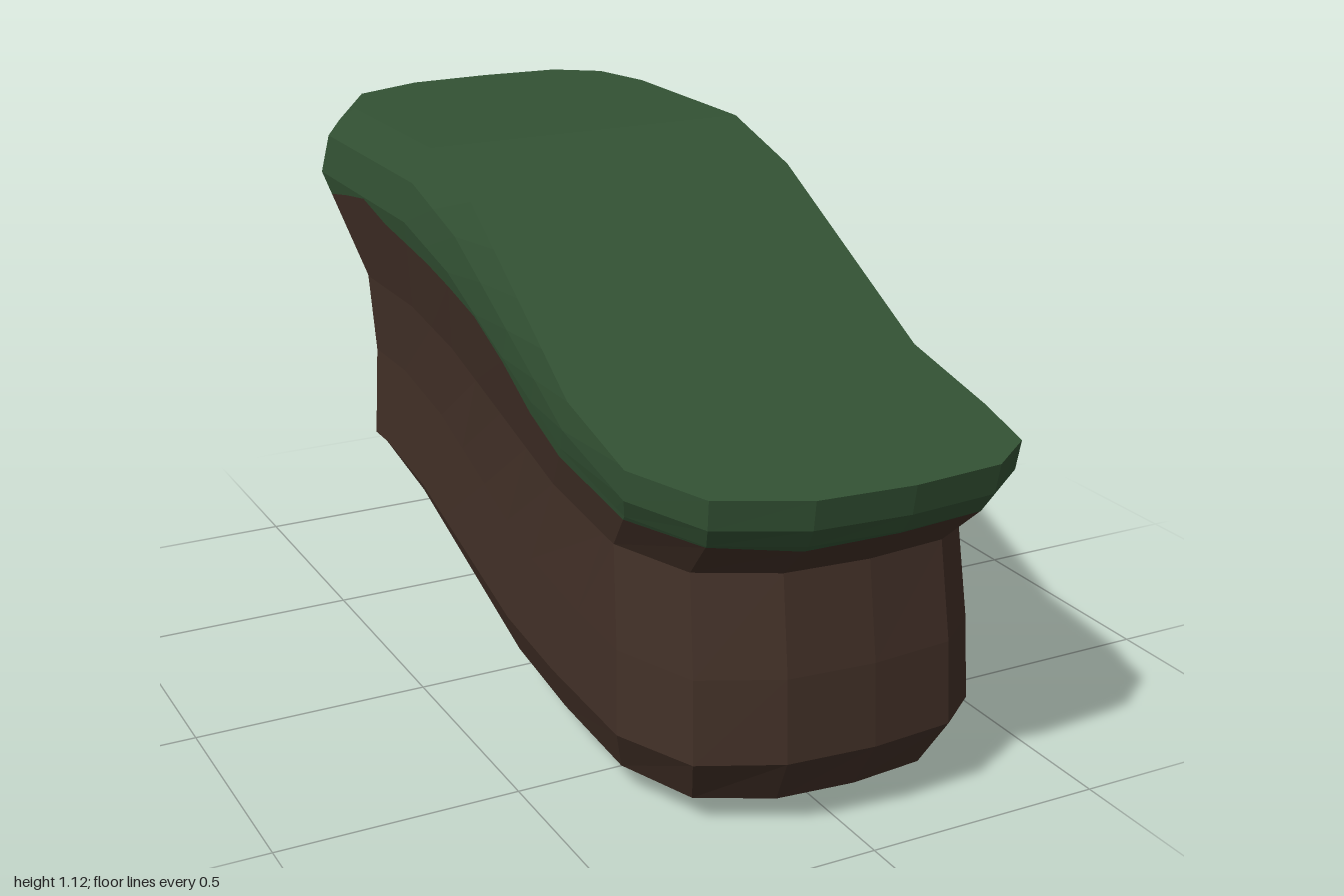
import * as THREE from 'three';

// Ramp rise from front (0) to back (1) along z
const RAMP = [[1, 0], [0.75, 0.035], [0.5, 0.17], [0.02, 0.84], [-0.2, 1]];
function rise(z) {
  if (z >= 1) return 0;
  for (let i = 1; i < RAMP.length; i++) {
    const [z0, r0] = RAMP[i - 1], [z1, r1] = RAMP[i];
    if (z >= z1) return r0 + (r1 - r0) * (z - z0) / (z1 - z0);
  }
  return 1;
}

// Outline stations front to back: z, left and right width fractions, slant weight (null = end cap)
const STATIONS = [
  [1, 0.15, 0.15, null], [0.985, -0.36, 0.64, null], [0.91, -0.8, 0.9, null], [0.74, -1, 1, null],
  [0.72, -1, 1, 1], [0.5, -1, 1, 1], [0.38, -1, 1, 1], [0.26, -1, 1, 1], [0.14, -1, 1, 1],
  [0.02, -1, 1, 1], [-0.09, -1, 1, 1], [-0.2, -1, 1, 1], [-0.34, -1, 1, 0.68], [-0.48, -1, 1, 0.35],
  [-0.62, -1, 1, 0.02], [-0.77, -1, 1, null], [-0.92, -0.8, 0.9, null], [-0.99, -0.36, 0.64, null], [-1, 0.15, 0.15, null],
];
const N = STATIONS.length;

// One closed loop: front/back height, front/back z, front/back half width, backward slant of the ramp
function ring(yf, yb, zf, zb, wf, wb, shift) {
  const point = (st, side) => {
    const [s, l, r, slant] = st;
    let z = slant === null ? (s > 0 ? s + zf - 1 : s + zb + 1) : s - shift * slant;
    z = Math.min(zf, Math.max(zb, z));
    const k = rise(z + shift);
    const half = wf + (wb - wf) * k;
    return new THREE.Vector3((side < 0 ? l : r) * half, yf + (yb - yf) * k, z);
  };
  const left = STATIONS.map((st) => point(st, -1));
  const right = STATIONS.slice(1, -1).map((st) => point(st, 1)).reverse();
  return [...left, ...right];
}

// Wavy border between two loops
function wavyRing(upper, lower) {
  return upper.map((p, i) => {
    const phase = p.x > 0 ? 0 : 1.1;
    const t = 0.15 + 0.1 * Math.cos(9.5 * (p.z + 0.75) + phase) + 0.04 * Math.sin(i * 2.3);
    return p.clone().lerp(lower[i], Math.max(0.02, t));
  });
}

// Skin a stack of loops (top to bottom), optionally closing one end
function skin(rings, cap) {
  const pos = [];
  const tri = (a, b, c) => {
    const area = new THREE.Vector3().subVectors(b, a).cross(new THREE.Vector3().subVectors(c, a)).length();
    if (area > 1e-7) for (const p of [a, b, c]) pos.push(p.x, p.y, p.z);
  };
  const quad = (a, b, c, d) => { tri(a, b, c); tri(a, c, d); };
  for (let k = 0; k + 1 < rings.length; k++) {
    const up = rings[k], low = rings[k + 1], n = up.length;
    for (let i = 0; i < n; i++) {
      const j = (i + 1) % n;
      quad(low[j], low[i], up[i], up[j]);
    }
  }
  const loop = cap === 'top' ? rings[0] : rings[rings.length - 1];
  const n = loop.length;
  for (let i = 0; i + 1 < N; i++) {
    const l0 = loop[i], l1 = loop[i + 1], r0 = loop[(n - i) % n], r1 = loop[n - i - 1];
    if (cap === 'top') quad(l0, r0, r1, l1);
    else quad(l1, r1, r0, l0);
  }
  const geo = new THREE.BufferGeometry();
  geo.setAttribute('position', new THREE.Float32BufferAttribute(pos, 3));
  geo.computeVertexNormals();
  return geo;
}

export function createModel() {
  const grass = new THREE.MeshStandardMaterial({ color: 0x335234, flatShading: true });
  grass.name = 'grass green';
  const dirt = new THREE.MeshStandardMaterial({ color: 0x423027, flatShading: true });
  dirt.name = 'dirt brown';

  // Overhanging turf loops
  const top = ring(0.72, 1.125, 1.0, -0.885, 0.39, 0.365, 0);
  const lip = ring(0.66, 1.05, 0.99, -0.97, 0.385, 0.4, 0.02);
  const brim = ring(0.62, 0.96, 0.965, -1.0, 0.37, 0.41, 0.05);
  // Earth loops below
  const neck = ring(0.53, 0.74, 0.87, -0.85, 0.345, 0.36, 0.15);
  const waist = ring(0.33, 0.56, 0.9, -0.835, 0.355, 0.345, 0.25);
  const belly = ring(0.16, 0.35, 0.91, -0.87, 0.36, 0.35, 0.36);
  const hem = ring(0.055, 0.347, 0.85, -0.869, 0.32, 0.347, 0.38);
  const base = ring(0, 0.345, 0.7, -0.866, 0.24, 0.335, 0.4);
  const border = wavyRing(brim, neck);

  const group = new THREE.Group();
  group.name = 'grassyRampBlock';
  const turf = new THREE.Mesh(skin([top, lip, brim, border], 'top'), grass);
  turf.name = 'grassTop';
  const earth = new THREE.Mesh(skin([border, neck, waist, belly, hem, base], 'bottom'), dirt);
  earth.name = 'dirtBody';
  group.add(turf, earth);
  return group;
}
